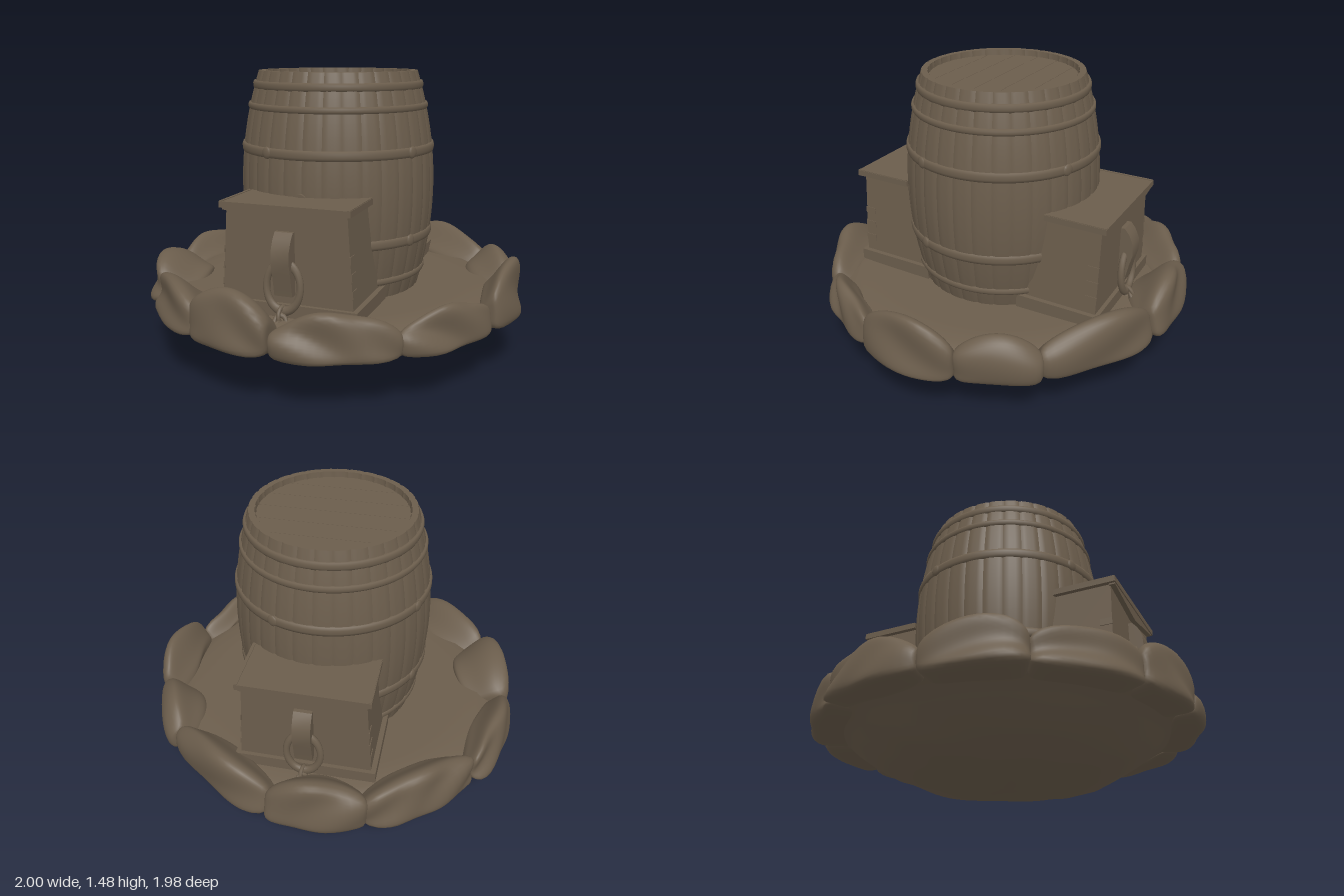
import * as THREE from 'three';
import { mergeVertices, toCreasedNormals } from 'three/addons/utils/BufferGeometryUtils.js';

const wood = new THREE.MeshStandardMaterial({ color: 0x6b5d4c });
wood.name = 'weathered brown';

const CX = 0.012; // centre line of barrel and chests
const V = (x, y) => new THREE.Vector2(x, y);

function add(parent, name, geometry, x = 0, y = 0, z = 0) {
  const mesh = new THREE.Mesh(geometry, wood);
  mesh.name = name;
  mesh.position.set(x, y, z);
  parent.add(mesh);
  return mesh;
}

// Move every vertex by a rule, then refresh the normals
function reshape(geometry, rule) {
  const p = geometry.attributes.position;
  const v = new THREE.Vector3();
  for (let i = 0; i < p.count; i++) {
    v.fromBufferAttribute(p, i);
    rule(v);
    p.setXYZ(i, v.x, v.y, v.z);
  }
  geometry.computeVertexNormals();
  return geometry;
}

const bump = (x, y, z) =>
  Math.sin(x * 9 + y * 5 + 1) * Math.sin(z * 8 - y * 7) + 0.6 * Math.sin(x * 17 - z * 13 + y * 11);

// One boulder of the ring, spanning angles a0..a1 in degrees
function boulder(a0, a1, rIn, rOut, top) {
  let g = new THREE.IcosahedronGeometry(1, 10);
  g.deleteAttribute('normal');
  g.deleteAttribute('uv');
  g = mergeVertices(g, 1e-4);
  const mid = THREE.MathUtils.degToRad((a0 + a1) / 2);
  const half = THREE.MathUtils.degToRad(Math.abs(a1 - a0) / 2 + 0.8);
  return reshape(g, (v) => {
    v.divideScalar((v.x ** 6 + v.y ** 6 + v.z ** 6) ** (1 / 6)); // rounded block
    const t = (v.y + 1) / 2;
    const s = (v.z + 1) / 2;
    const slope = 0.58 + 0.45 * THREE.MathUtils.smoothstep(s, 0, 0.8);
    const height = (top - 0.25) * slope * (1 - 0.32 * v.x ** 2);
    const ang = mid - half * v.x;
    const r = rOut - (rOut - rIn) * (1 - s) * (1 - 0.25 * v.x ** 2) - 0.04 * t * s;
    const n = bump(Math.cos(ang) * r, v.y * 0.25, Math.sin(ang) * r);
    const rr = r + 0.014 * n;
    v.set(Math.cos(ang) * rr, 0.25 + height * t + 0.014 * n * t, Math.sin(ang) * rr);
  });
}

function makeBase() {
  const base = new THREE.Group();
  base.name = 'stoneBase';

  // Shallow bowl of earth with a nearly flat floor
  const profile = [[0, 0], [0.15, 0.012], [0.3, 0.028], [0.45, 0.055], [0.57, 0.09], [0.68, 0.15],
    [0.77, 0.21], [0.83, 0.255], [0.88, 0.275], [0.87, 0.33], [0.8, 0.365], [0.65, 0.36], [0.4, 0.355], [0, 0.355]];
  const bowl = new THREE.LatheGeometry(profile.map((p) => V(...p)), 72);
  add(base, 'earthBowl', toCreasedNormals(reshape(bowl, (v) => {
    const r = Math.hypot(v.x, v.z);
    if (r > 0.05 && v.y < 0.25) v.y += 0.008 * bump(v.x, 0, v.z);
  }), 0.7));

  const stones = [
    [177, 149, 0.68, 1.0, 0.49], [148, 116, 0.74, 0.98, 0.47], [115, 89, 0.73, 0.99, 0.53],
    [87, 52, 0.77, 0.99, 0.46], [51, 18, 0.81, 0.98, 0.45], [16, -14, 0.81, 1.0, 0.53],
    [-15, -39, 0.74, 0.99, 0.49], [-40, -80, 0.74, 0.97, 0.5], [-81, -110, 0.74, 1.0, 0.52],
    [-110, -148, 0.75, 0.99, 0.49], [-149, -182, 0.81, 1.0, 0.47],
  ];
  for (const s of stones) add(base, 'boulder', boulder(...s));
  return base;
}

function makeBarrel() {
  const barrel = new THREE.Group();
  barrel.name = 'barrel';
  const radius = (y) => 0.507 - 0.27 * (y - 0.88) ** 2;

  // Staved shell with a groove at each seam
  const profile = [];
  for (let i = 0; i <= 20; i++) {
    const y = 0.3 + (1.475 - 0.3) * (i / 20);
    profile.push(V(radius(y), y));
  }
  profile.push(V(0.38, 1.475), V(0.375, 1.43));
  const staves = 32;
  const shell = reshape(new THREE.LatheGeometry(profile, staves * 6), (v) => {
    const seam = Math.atan2(v.x, v.z) / (Math.PI * 2) * staves;
    if (Math.abs(seam - Math.round(seam)) < 0.1) {
      v.x *= 0.988;
      v.z *= 0.988;
    }
  });
  add(barrel, 'staves', toCreasedNormals(shell, 0.6));

  // Hoops
  for (const [y, h] of [[1.405, 0.02], [1.3, 0.016], [1.09, 0.024], [0.65, 0.024], [0.45, 0.016]]) {
    const r = radius(y);
    const ring = [[-0.012, -h], [0.004, -h], [0.009, -h * 0.4], [0.009, h * 0.4], [0.004, h], [-0.012, h]];
    add(barrel, 'hoop', new THREE.LatheGeometry(ring.map(([dr, dy]) => V(r + dr, y + dy)), 72));
  }

  // Rivets on the wide hoops
  for (const y of [1.09, 0.65]) {
    for (let i = 0; i < 4; i++) {
      const a = i * Math.PI / 2 - 0.41;
      const r = radius(y) + 0.004;
      const rivet = add(barrel, 'rivet', new THREE.SphereGeometry(0.03, 12, 8), Math.sin(a) * r, y, Math.cos(a) * r);
      rivet.scale.set(1, 1, 0.4);
      rivet.rotation.y = a;
    }
  }

  // Head boards cut to the circle
  const R = 0.38;
  const step = (2 * R) / 6;
  for (let i = 0; i < 6; i++) {
    const lo = -R + i * step + 0.001;
    const hi = -R + (i + 1) * step - 0.001;
    const pts = [];
    for (let k = 0; k <= 8; k++) {
      const y = lo + (hi - lo) * (k / 8);
      pts.push(V(Math.sqrt(R * R - y * y), y));
    }
    const outline = [...pts, ...pts.map((p) => V(-p.x, p.y)).reverse()];
    const board = new THREE.ExtrudeGeometry(new THREE.Shape(outline), { depth: 0.02, bevelEnabled: false });
    add(barrel, 'headBoard', board.rotateX(-Math.PI / 2), 0, 1.425, 0);
  }
  add(barrel, 'headBacking', new THREE.CylinderGeometry(0.385, 0.385, 0.01, 48), 0, 1.43, 0);

  // Bung
  const bung = new THREE.CylinderGeometry(0.028, 0.028, 0.03, 16).rotateX(Math.PI / 2);
  add(barrel, 'bung', bung, 0, 0.88, 0.503);
  return barrel;
}

function makeChest() {
  const chest = new THREE.Group();
  chest.name = 'chest';

  // Tapered body, its inner side leaning under the barrel
  const body = new THREE.BoxGeometry(1, 1, 1);
  add(chest, 'chestBody', toCreasedNormals(reshape(body, (v) => {
    const up = v.y > 0;
    v.set(v.x * (up ? 0.6 : 0.67), up ? 0.865 : 0.35, v.z > 0 ? 0.69 : up ? 0.4 : 0.27);
  }), 0.5));
  const skirt = new THREE.BoxGeometry(0.71, 0.075, 0.44);
  add(chest, 'skirtBoard', skirt, 0, 0.388, 0.49);

  // Lid with a shallow pointed fascia
  add(chest, 'lid', new THREE.BoxGeometry(0.65, 0.03, 0.32), 0, 0.878, 0.56);
  for (const s of [-1, 1]) add(chest, 'lidEdge', new THREE.BoxGeometry(0.014, 0.006, 0.31), s * 0.315, 0.893, 0.563);
  const fascia = new THREE.Shape([V(-0.31, 0.87), V(-0.31, 0.855), V(0, 0.805), V(0.31, 0.855), V(0.31, 0.87)]);
  add(chest, 'fascia', new THREE.ExtrudeGeometry(fascia, { depth: 0.03, bevelEnabled: false }), 0, 0, 0.685);

  // Corner joints
  for (const s of [-1, 1]) {
    for (const y of [0.5, 0.58, 0.66]) {
      const joint = add(chest, 'cornerJoint', new THREE.BoxGeometry(0.008, 0.035, 0.06),
        s * (0.335 - (y - 0.35) * 0.068), y, 0.662);
      joint.rotation.z = s * 0.068;
    }
  }

  // Curved strap holding the ring
  const strap = new THREE.Shape([V(0.68, 0.77), V(0.71, 0.77), V(0.735, 0.74), V(0.757, 0.69), V(0.76, 0.63),
    V(0.745, 0.57), V(0.725, 0.47), V(0.68, 0.47)]);
  const strapGeo = new THREE.ExtrudeGeometry(strap, { depth: 0.09, bevelEnabled: false }).rotateY(-Math.PI / 2);
  add(chest, 'strap', toCreasedNormals(strapGeo, 0.6), 0.045, 0, 0);

  // Ring and short chain
  const ring = add(chest, 'ring', new THREE.TorusGeometry(0.085, 0.017, 10, 32), 0, 0.515, 0.722);
  ring.scale.set(1, 1.35, 1);
  ring.rotation.x = -0.06;
  for (let i = 0; i < 3; i++) {
    const link = add(chest, 'chainLink', new THREE.TorusGeometry(0.028, 0.01, 8, 16), 0, 0.385 - i * 0.03, 0.74 + i * 0.025);
    link.scale.set(1, 1.3, 1);
    link.rotation.set(-0.5, i % 2 ? 0.5 : Math.PI / 2 - 0.3, 0);
  }
  return chest;
}

export function createModel() {
  const model = new THREE.Group();
  model.name = 'barrelOnStoneBase';
  model.add(makeBase());

  const barrel = makeBarrel();
  barrel.position.x = CX;
  model.add(barrel);

  // Matching chests at front and back
  for (const side of ['front', 'back']) {
    const chest = makeChest();
    chest.name = side + 'Chest';
    chest.position.x = CX;
    if (side === 'back') chest.rotation.y = Math.PI;
    model.add(chest);
  }
  return model;
}
